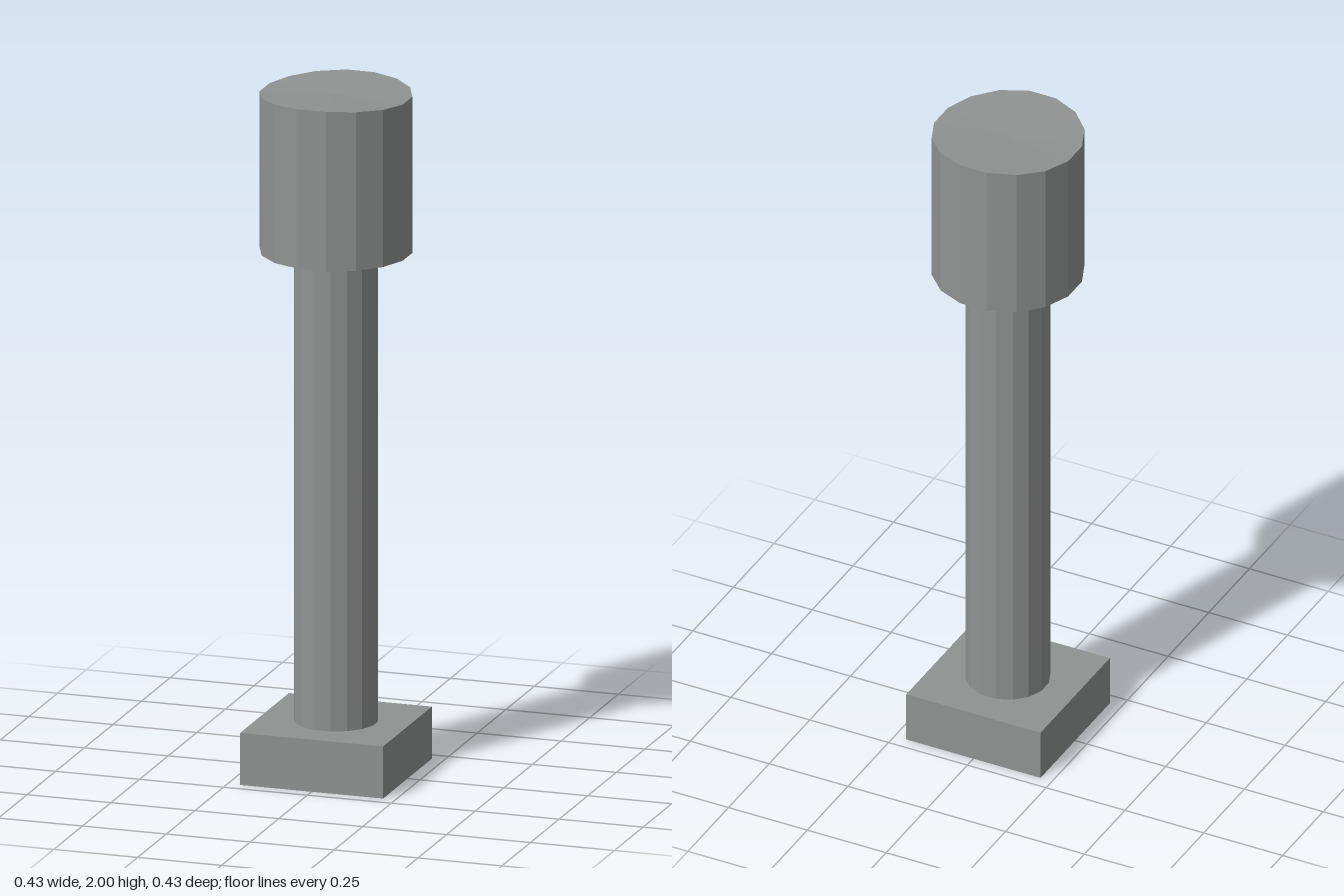
import * as THREE from 'three';

const SIDES = 16;

export function createModel() {
  const model = new THREE.Group();
  model.name = 'post';
  const grey = new THREE.MeshStandardMaterial({ color: 0x8e9391, flatShading: true });
  grey.name = 'grey';

  const add = (name, geometry, y) => {
    const mesh = new THREE.Mesh(geometry, grey);
    mesh.name = name;
    mesh.position.y = y;
    model.add(mesh);
  };
  // Prism turned so that flat sides face the front, back, left and right
  const prism = (radius, height) =>
    new THREE.CylinderGeometry(radius, radius, height, SIDES, 1, false, Math.PI / SIDES);

  // Square foot
  add('base', new THREE.BoxGeometry(0.426, 0.153, 0.426), 0.0765);

  // Slender shaft between foot and head
  add('shaft', prism(0.12, 1.382), 0.153 + 0.691);

  // Head, its top dished very slightly between front and back
  const head = prism(0.217, 0.458);
  const pos = head.attributes.position;
  for (let i = 0; i < pos.count; i++) {
    if (pos.getY(i) > 0) pos.setY(i, pos.getY(i) + 0.01 * (pos.getZ(i) / 0.213) ** 2);
  }
  head.computeVertexNormals();
  add('head', head, 1.532 + 0.229);

  return model;
}
